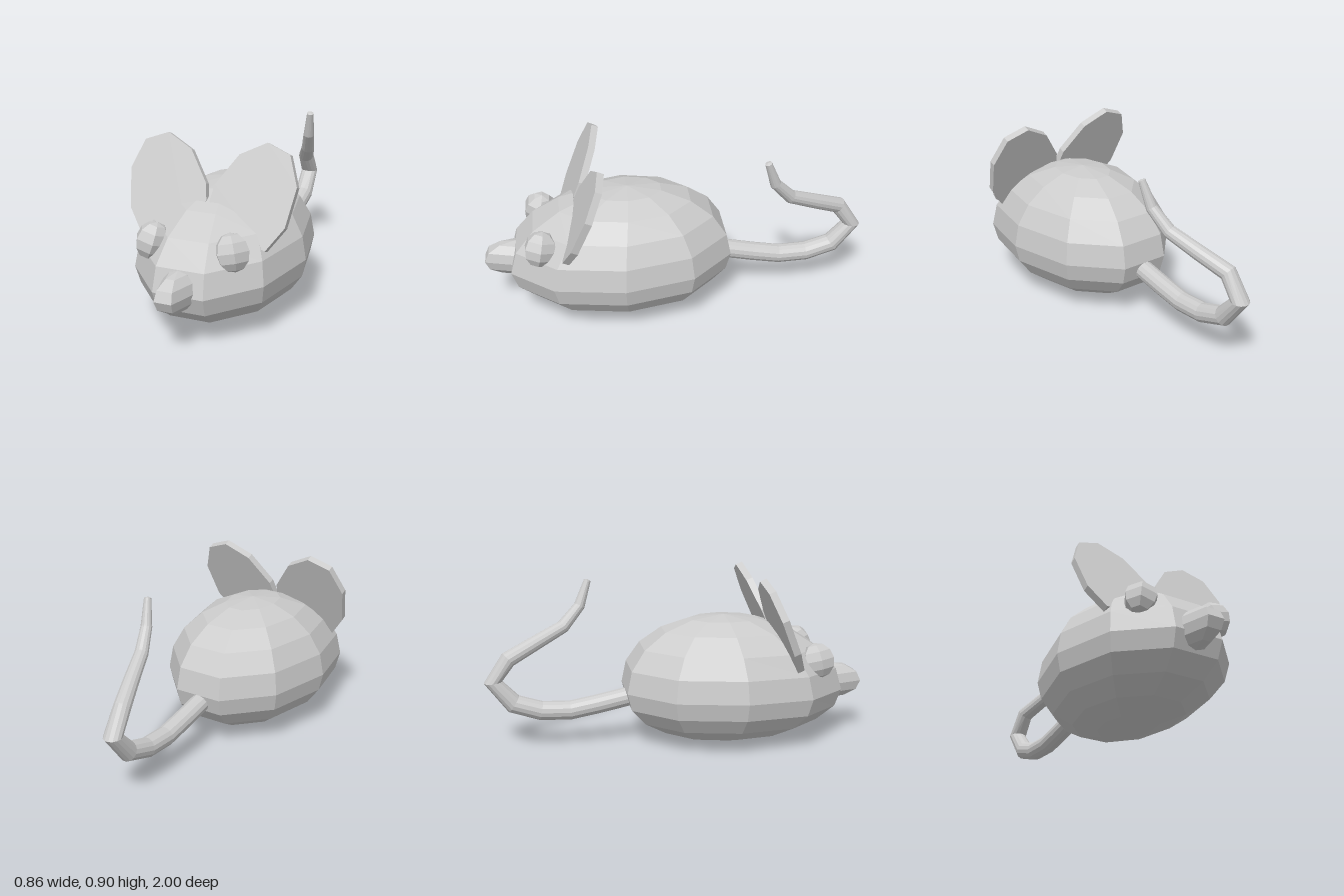
import * as THREE from 'three';

const grey = new THREE.MeshStandardMaterial({ color: 0xcccccc, flatShading: true });

function part(name, geometry, parent) {
  const mesh = new THREE.Mesh(geometry, grey);
  mesh.name = name;
  parent.add(mesh);
  return mesh;
}

// Egg-shaped body: a coarse ball, taller above its widest ring, drooping towards the snout
function bodyGeometry() {
  const geo = new THREE.SphereGeometry(1, 10, 10);
  const p = geo.attributes.position;
  for (let i = 0; i < p.count; i++) {
    const x = p.getX(i), y = p.getY(i), z = p.getZ(i);
    const droop = 0.035 * Math.max(0, z) ** 1.5;
    p.setXYZ(i, x * 0.415, 0.3 + y * (y > 0 ? 0.375 : 0.295) - droop, 0.295 + z * 0.6 - 0.045 * y * y);
  }
  geo.computeVertexNormals();
  return geo;
}

// Flat ear plate; outline as [x, height], its foot buried in the head
function earGeometry(side) {
  const tilt = 0.393;
  const outline = [[0.32, 0.428], [0.4, 0.537], [0.43, 0.715], [0.375, 0.85], [0.257, 0.892],
    [0.125, 0.828], [0.022, 0.685], [0.008, 0.61], [0.1, 0.5]];
  const shape = new THREE.Shape(outline.map(([x, y]) => new THREE.Vector2(side * x, (y - 0.428) / Math.cos(tilt))));
  const geo = new THREE.ExtrudeGeometry(shape, { depth: 0.036, bevelEnabled: false });
  geo.translate(0, 0, -0.018);
  geo.rotateX(-tilt);
  geo.translate(0, 0.432, 0.583);
  return geo;
}

// Straight-jointed path with one ring per joint
class JointedCurve extends THREE.Curve {
  constructor(points) { super(); this.points = points; }
  getPoint(t, target = new THREE.Vector3()) {
    const n = this.points.length - 1;
    const f = THREE.MathUtils.clamp(t, 0, 1) * n;
    const i = Math.min(Math.floor(f), n - 1);
    return target.lerpVectors(this.points[i], this.points[i + 1], f - i);
  }
  getPointAt(u, target) { return this.getPoint(u, target); }
  getTangentAt(u, target) { return this.getTangent(u, target); }
}

// Tapering tail; joints as [x, y, z, radius]
function tailGeometry() {
  const joints = [[-0.005, 0.27, -0.18, 0.05], [-0.005, 0.22, -0.42, 0.05], [-0.005, 0.195, -0.56, 0.05],
    [-0.005, 0.2, -0.71, 0.05], [-0.005, 0.245, -0.85, 0.05], [-0.005, 0.365, -0.95, 0.047],
    [0, 0.48, -0.87, 0.043], [0.055, 0.545, -0.73, 0.039], [0.11, 0.615, -0.58, 0.035],
    [0.145, 0.715, -0.49, 0.029], [0.168, 0.845, -0.443, 0.018], [0.169, 0.85, -0.441, 0]];
  const points = joints.map(([x, y, z]) => new THREE.Vector3(x, y, z));
  const sides = 14;
  const geo = new THREE.TubeGeometry(new JointedCurve(points), joints.length - 1, 1, sides, false);
  const p = geo.attributes.position;
  const v = new THREE.Vector3();
  for (let i = 0; i < p.count; i++) {
    const ring = Math.floor(i / (sides + 1));
    v.fromBufferAttribute(p, i).sub(points[ring]).multiplyScalar(joints[ring][3]).add(points[ring]);
    p.setXYZ(i, v.x, v.y, v.z);
  }
  geo.computeVertexNormals();
  return geo;
}

export function createModel() {
  const mouse = new THREE.Group();
  mouse.name = 'mouse';

  part('body', bodyGeometry(), mouse);

  // Snout
  const nose = part('nose', new THREE.SphereGeometry(1, 6, 6), mouse);
  nose.scale.set(0.088, 0.097, 0.185);
  nose.position.set(-0.005, 0.289, 0.84);

  // Ears and eyes, one per side
  for (const [side, label] of [[1, 'left'], [-1, 'right']]) {
    part(label + 'Ear', earGeometry(side), mouse);
    const eye = part(label + 'Eye', new THREE.SphereGeometry(1, 6, 6), mouse);
    eye.scale.set(0.085, 0.092, 0.088);
    eye.rotation.set(-0.2, 0, side * 0.25);
    eye.position.set(side * 0.205, 0.456, 0.705);
  }

  part('tail', tailGeometry(), mouse);
  return mouse;
}
